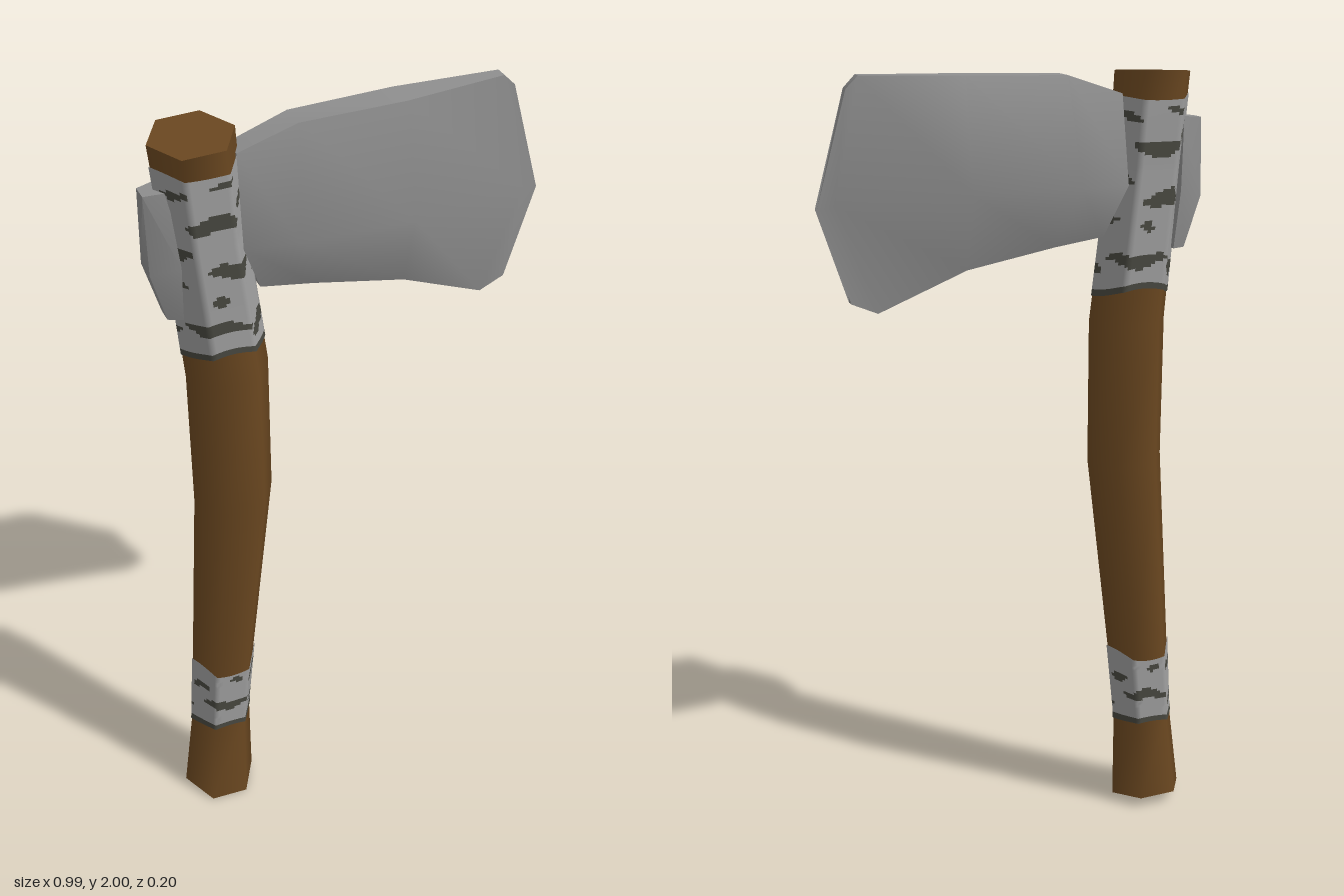
import * as THREE from 'three';
import { toCreasedNormals } from 'three/addons/utils/BufferGeometryUtils.js';

const mat = (name, color) => new THREE.MeshStandardMaterial({ name, color });

// Skin a list of closed loops (each counterclockwise seen from the far end) and cap both ends
function loft(loops, crease) {
  const n = loops[0].length, pos = loops.flat(2), idx = [];
  for (let i = 0; i < loops.length - 1; i++) {
    for (let j = 0; j < n; j++) {
      const a = i * n + j, b = i * n + (j + 1) % n;
      idx.push(a, b, b + n, a, b + n, a + n);
    }
  }
  const e = (loops.length - 1) * n;
  for (let j = 1; j < n - 1; j++) idx.push(0, j + 1, j, e, e + j, e + j + 1);
  return finish(pos, idx, crease);
}

function finish(pos, idx, crease, split) {
  const g = new THREE.BufferGeometry();
  g.setAttribute('position', new THREE.Float32BufferAttribute(pos, 3));
  g.setIndex(idx);
  if (split !== undefined) {
    g.addGroup(0, split, 0);
    g.addGroup(split, idx.length - split, 1);
  }
  return toCreasedNormals(g, crease);
}

// Handle sections: y, centre x, half width, centre z, half depth
const RINGS = [
  [0.02, -0.397, 0.098, 0.008, 0.088],
  [0.27, -0.378, 0.082, 0.002, 0.076],
  [0.47, -0.361, 0.087, 0.002, 0.077],
  [1.0, -0.313, 0.103, 0.007, 0.09],
  [1.37, -0.311, 0.104, 0.002, 0.086],
  [1.58, -0.332, 0.1, 0.002, 0.085],
  [1.76, -0.351, 0.097, 0.003, 0.084],
  [1.99, -0.368, 0.102, 0.003, 0.088],
];

function corner([y, cx, rx, cz, rz], k, grow = 0) {
  const t = k * Math.PI / 3;
  return [cx + (rx + grow) * Math.cos(t), y, cz - (rz + grow) * Math.sin(t) / 0.866];
}

// Point on the six-sided handle at height y, u runs 0..6 around it
function onHandle(u, y, grow) {
  let i = 0;
  while (i < RINGS.length - 2 && y > RINGS[i + 1][0]) i++;
  const f = (y - RINGS[i][0]) / (RINGS[i + 1][0] - RINGS[i][0]);
  const ring = RINGS[i].map((v, k) => THREE.MathUtils.lerp(v, RINGS[i + 1][k], f));
  const k = Math.floor(u), p = corner(ring, k, grow), q = corner(ring, k + 1, grow);
  return p.map((v, c) => THREE.MathUtils.lerp(v, q[c], u - k));
}

function handleGeometry() {
  const loops = RINGS.map((r) => [0, 1, 2, 3, 4, 5].map((k) => corner(r, k)));
  // Slanted end cuts
  for (let k = 0; k < 6; k++) {
    const c = Math.cos(k * Math.PI / 3), s = Math.sin(k * Math.PI / 3);
    loops[0][k][1] += -0.005 * c + 0.016 * s;
    loops[RINGS.length - 1][k][1] += 0.004 * c + 0.009 * s;
  }
  return loft(loops, 1.2);
}

// Cloth wrap: thin sleeve whose cells are cloth or dark streak; streaks are [u, y, half width, half height]
function wrapGeometry(y0, y1, topWave, bottomWave, streaks) {
  const cols = 60, rows = Math.round((y1 - y0) / 0.008), pos = [], light = [], dark = [];
  const heightAt = (u, v) => {
    const w = Math.cos(u * Math.PI * 2 / 3);
    return THREE.MathUtils.lerp(y0 + bottomWave * w, y1 + topWave * w, v);
  };
  for (let r = 0; r <= rows; r++) {
    for (let c = 0; c <= cols; c++) {
      const u = c * 6 / cols;
      pos.push(...onHandle(u, heightAt(u, r / rows), 0.003));
    }
  }
  const isDark = (u, y, r) => r < 2 || streaks.some(([su, sy, hw, hh]) => {
    let d = (((u - su) % 3) + 3) % 3;
    if (d > 1.5) d -= 3;
    const mid = sy + 0.006 * Math.sin(u * 5 + sy * 40);
    return Math.abs(d) < hw && Math.abs(y - mid) < hh * (1.15 - (d / hw) ** 2);
  });
  for (let r = 0; r < rows; r++) {
    for (let c = 0; c < cols; c++) {
      const a = r * (cols + 1) + c, b = a + 1, d = a + cols + 1;
      const u = (c + 0.5) * 6 / cols;
      (isDark(u, heightAt(u, (r + 0.5) / rows), r) ? dark : light).push(a, b, d + 1, a, d + 1, d);
    }
  }
  return finish(pos, [...light, ...dark], 1.2, light.length);
}

// Metal piece from columns of top, ridge and bottom points [x, y, half thickness]
const metalGeometry = (columns) => loft(columns.map((col) => [
  ...col.map(([x, y, h]) => [x, y, h]),
  ...[...col].reverse().map(([x, y, h]) => [x, y, -h]),
]), 0.65);

export function createModel() {
  const wood = mat('wood', 0x6a4720);
  const metal = mat('metal', 0x8f8f8f);
  const cloth = mat('cloth', 0x9f9f9f);
  const stain = mat('dark cloth', 0x484840);
  const model = new THREE.Group();
  model.name = 'axe';
  const add = (name, geometry, material) => {
    const mesh = new THREE.Mesh(geometry, material);
    mesh.name = name;
    model.add(mesh);
  };

  add('handle', handleGeometry(), wood);

  add('upperWrap', wrapGeometry(1.45, 1.93, 0.004, -0.014, [
    [0.6, 1.885, 0.45, 0.009], [1.9, 1.905, 0.35, 0.007], [1.5, 1.81, 0.75, 0.017],
    [2.6, 1.84, 0.4, 0.012], [1.9, 1.685, 0.7, 0.019], [0.5, 1.735, 0.4, 0.013],
    [1.4, 1.615, 0.2, 0.012], [1.2, 1.535, 0.9, 0.015], [2.6, 1.51, 0.6, 0.018],
    [0.2, 1.64, 0.4, 0.01],
  ]), [cloth, stain]);

  add('lowerWrap', wrapGeometry(0.255, 0.455, 0.013, -0.006, [
    [1.3, 0.34, 0.8, 0.013], [2.5, 0.41, 0.5, 0.012], [0.4, 0.39, 0.35, 0.01],
    [1.6, 0.42, 0.2, 0.008], [2.7, 0.3, 0.45, 0.009],
  ]), [cloth, stain]);

  // Blade from the handle out to the cutting edge
  add('blade', metalGeometry([
    [[-0.275, 1.94, 0.03], [-0.28, 1.72, 0.068], [-0.23, 1.59, 0.03]],
    [[-0.13, 1.988, 0.035], [-0.15, 1.72, 0.091], [-0.1, 1.572, 0.035]],
    [[0.13, 1.994, 0.04], [0.13, 1.72, 0.1], [0.13, 1.53, 0.04]],
    [[0.385, 2.0, 0.016], [0.45, 1.7, 0.02], [0.35, 1.433, 0.016]],
    [[0.415, 1.97, 0.013], [0.492, 1.69, 0.01], [0.415, 1.46, 0.013]],
  ]), metal);

  // Blunt plate at the back of the head
  add('backPlate', metalGeometry([
    [[-0.492, 1.875, 0.022], [-0.492, 1.68, 0.032], [-0.455, 1.55, 0.02]],
    [[-0.44, 1.88, 0.035], [-0.425, 1.7, 0.06], [-0.42, 1.55, 0.035]],
  ]), metal);

  return model;
}
